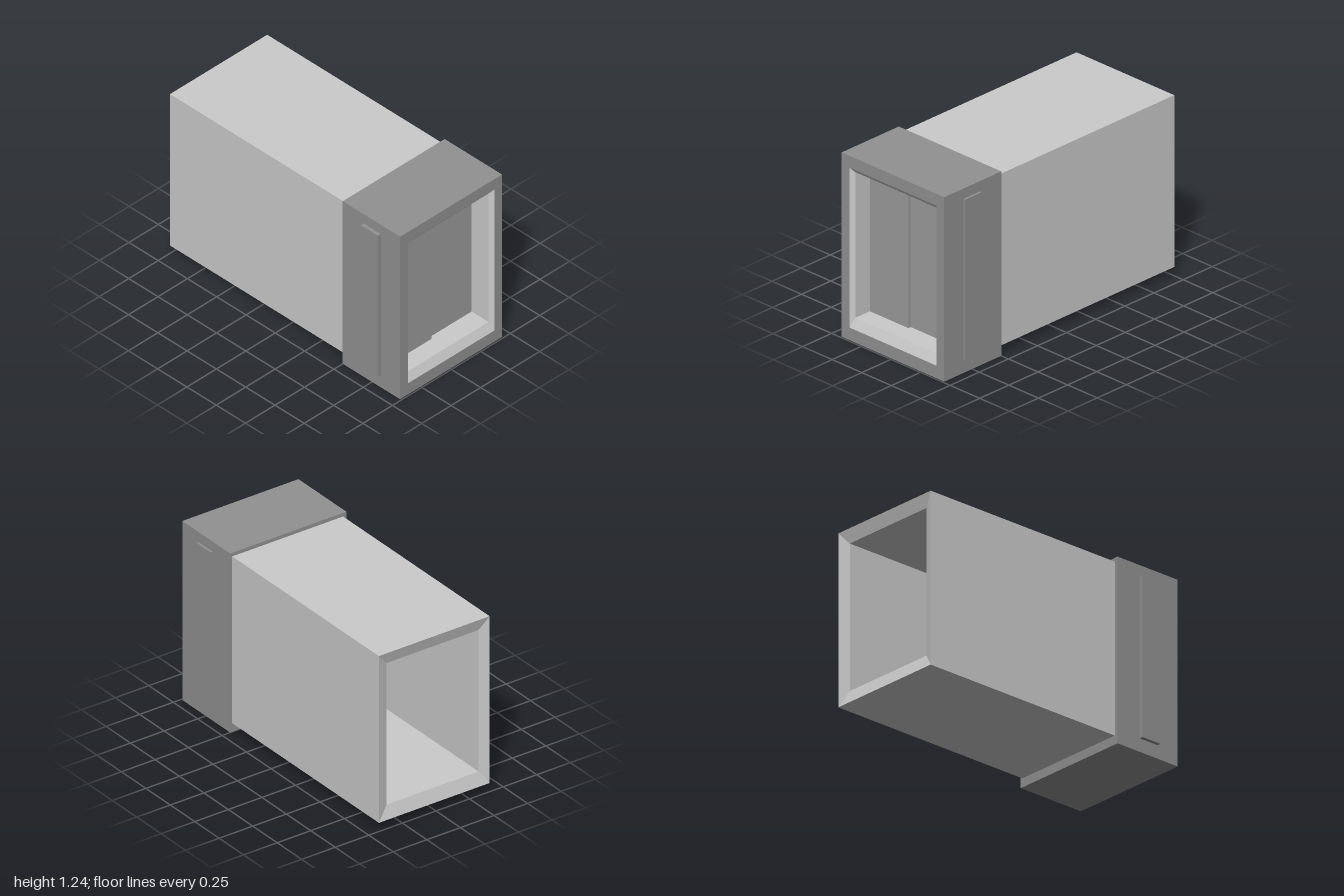
import * as THREE from 'three';

// Skin between rectangular rings [x, y0, y1, z0, z1]; the outer skin runs towards +x.
function loft(rings) {
  const corners = rings.map(([x, y0, y1, z0, z1]) => [[x, y0, z0], [x, y1, z0], [x, y1, z1], [x, y0, z1]]);
  const pos = [];
  for (let i = 0; i < corners.length - 1; i++) {
    for (let j = 0; j < 4; j++) {
      const k = (j + 1) % 4;
      const a = corners[i][j], b = corners[i][k], c = corners[i + 1][k], d = corners[i + 1][j];
      pos.push(...a, ...b, ...c, ...a, ...c, ...d);
    }
  }
  const geo = new THREE.BufferGeometry();
  geo.setAttribute('position', new THREE.Float32BufferAttribute(pos, 3));
  geo.computeVertexNormals();
  return geo;
}

// Box given by its limits on each axis.
function span(x0, x1, y0, y1, z0, z1) {
  return new THREE.BoxGeometry(x1 - x0, y1 - y0, z1 - z0)
    .translate((x0 + x1) / 2, (y0 + y1) / 2, (z0 + z1) / 2);
}

export function createModel() {
  const group = new THREE.Group();
  const light = new THREE.MeshStandardMaterial({ color: 0xcccccc, side: THREE.DoubleSide });
  const dark = new THREE.MeshStandardMaterial({ color: 0x929292, side: THREE.DoubleSide });
  const panel = new THREE.MeshStandardMaterial({ color: 0x9c9c9c });
  const add = (name, geo, mat) => {
    const mesh = new THREE.Mesh(geo, mat);
    mesh.name = name;
    group.add(mesh);
  };

  // Rectangles shared by the parts: y0, y1, z0, z1
  const bore = [0.15, 1.13, -0.35, 0.335];
  const shell = [0.06, 1.215, -0.425, 0.4];
  const cap = [0, 1.24, -0.44, 0.425];
  const mouth = [0.085, 1.16, -0.375, 0.36];

  // Hollow sleeve, its far rim sloping slightly inwards
  add('sleeve', loft([[0.8, ...bore], [-0.975, ...bore], [-1, ...shell], [0.5, ...shell]]), light);

  // Collar around the sleeve's end
  add('collar', loft([[0.5, ...shell], [0.5, ...cap], [0.99, ...cap], [0.99, ...mouth]]), dark);

  // Bevelled lining of the collar opening
  add('openingLining', loft([[0.99, ...mouth], [0.965, ...bore], [0.8, ...bore]]), light);

  // Two overlapping doors closing the bore
  add('leftDoor', span(0.8, 0.84, 0.15, 1.13, 0.01, 0.335), panel);
  add('rightDoor', span(0.79, 0.82, 0.15, 1.13, -0.35, 0.01), panel);

  // Raised strips on the front and back of the collar
  add('frontStrip', span(0.68, 0.825, 0.09, 1.17, 0.4, 0.45), dark);
  add('backStrip', span(0.68, 0.825, 0.09, 1.17, -0.455, -0.42), dark);

  return group;
}
